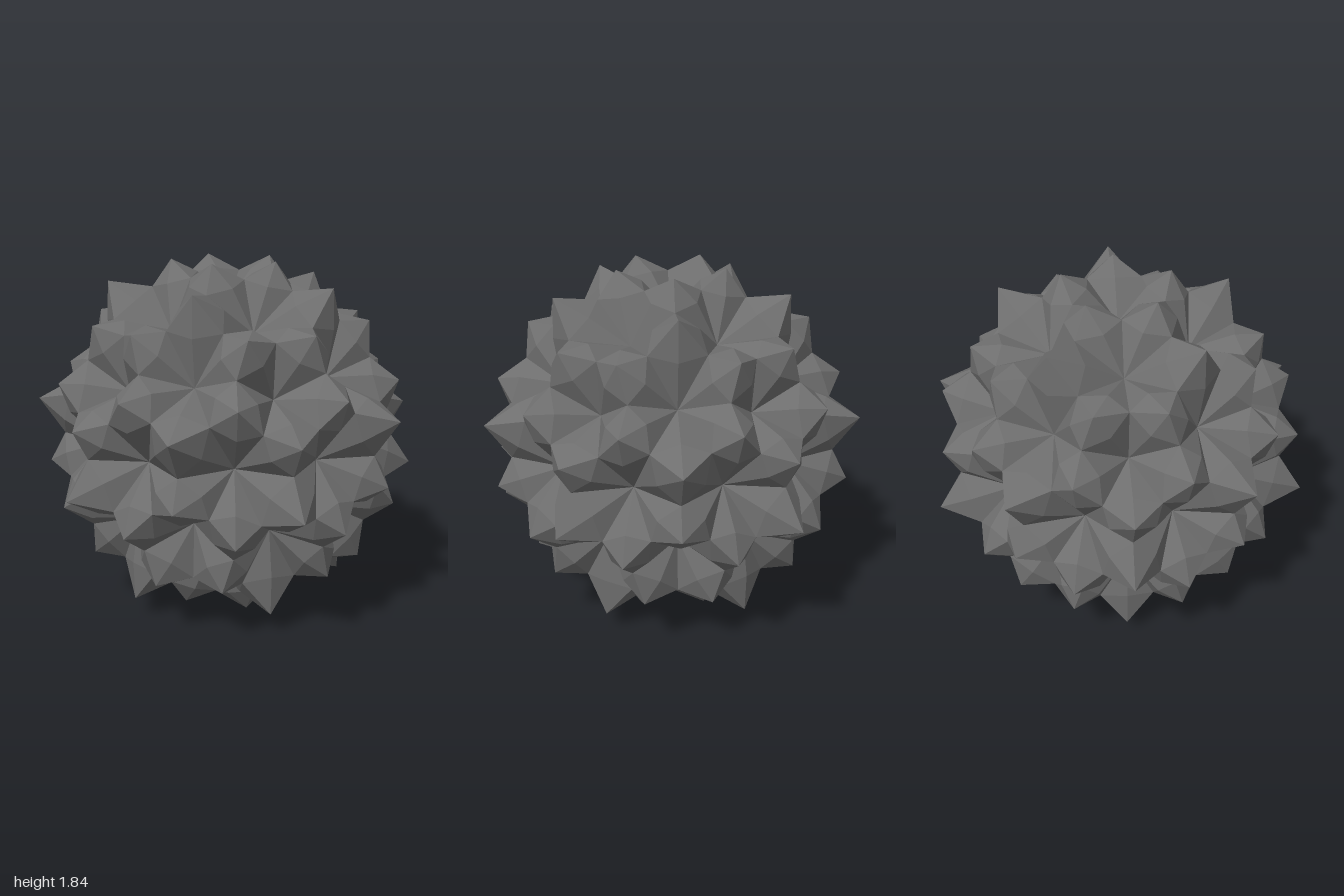
import * as THREE from 'three';

const PIT = 0.69;          // sunken corners between the spikes
const PASS = 0.87;         // saddle points between neighbouring spikes
const SHOULDER = 0.87;     // bumps on the slopes from spike to pit
const TALL_TIP = 1.018;    // spikes at the icosahedron face centres
const SHORT_TIP = 0.964;   // spikes around the icosahedron corners
const CENTRE_Y = 0.92;

// icosahedron with a corner pointing straight up
function icosahedronFaces() {
  const ring = (y, turn) => Array.from({ length: 5 }, (_, k) => {
    const a = (k * 72 + turn) * Math.PI / 180;
    return new THREE.Vector3(2 * Math.cos(a), y, 2 * Math.sin(a)).normalize();
  });
  const top = new THREE.Vector3(0, 1, 0), bottom = new THREE.Vector3(0, -1, 0);
  const up = ring(1, 0), low = ring(-1, 36);
  const faces = [];
  for (let k = 0; k < 5; k++) {
    const n = (k + 1) % 5;
    faces.push([top, up[k], up[n]], [up[k], low[k], up[n]],
      [low[k], low[n], up[n]], [bottom, low[k], low[n]]);
  }
  return faces;
}

function spikyBallGeometry() {
  const positions = [];
  const at = (dir, radius) => dir.clone().setLength(radius);
  const mid = (a, b) => a.clone().add(b).normalize();

  // add a triangle, always facing outward
  const tri = (a, b, c) => {
    const n = b.clone().sub(a).cross(c.clone().sub(a));
    const order = n.dot(a) > 0 ? [a, b, c] : [a, c, b];
    order.forEach(p => positions.push(p.x, p.y, p.z));
  };

  // spike made of three kites, each with a shoulder between tip and pit
  const spike = (corners, height) => {
    const tip = new THREE.Vector3();
    corners.forEach(p => tip.add(p));
    tip.setLength(height);
    corners.forEach((a, i) => {
      const left = mid(a, corners[(i + 1) % 3]), right = mid(a, corners[(i + 2) % 3]);
      const shoulder = at(left.clone().add(right).addScaledVector(a, 0.5), SHOULDER);
      const kite = [tip, at(left, PASS), at(a, PIT), at(right, PASS)];
      kite.forEach((p, k) => tri(p, kite[(k + 1) % 4], shoulder));
    });
  };

  // split each face in four on the sphere and put a spike on each piece
  for (const [a, b, c] of icosahedronFaces()) {
    const ab = mid(a, b), bc = mid(b, c), ca = mid(c, a);
    spike([ab, bc, ca], TALL_TIP);
    spike([a, ab, ca], SHORT_TIP);
    spike([b, bc, ab], SHORT_TIP);
    spike([c, ca, bc], SHORT_TIP);
  }

  const geometry = new THREE.BufferGeometry();
  geometry.setAttribute('position', new THREE.Float32BufferAttribute(positions, 3));
  geometry.computeVertexNormals();
  return geometry;
}

export function createModel() {
  const group = new THREE.Group();
  const material = new THREE.MeshStandardMaterial({ color: 0x6e6e6e, flatShading: true });
  const ball = new THREE.Mesh(spikyBallGeometry(), material);
  ball.name = 'spikyBall';
  ball.position.y = CENTRE_Y;
  group.add(ball);
  return group;
}
